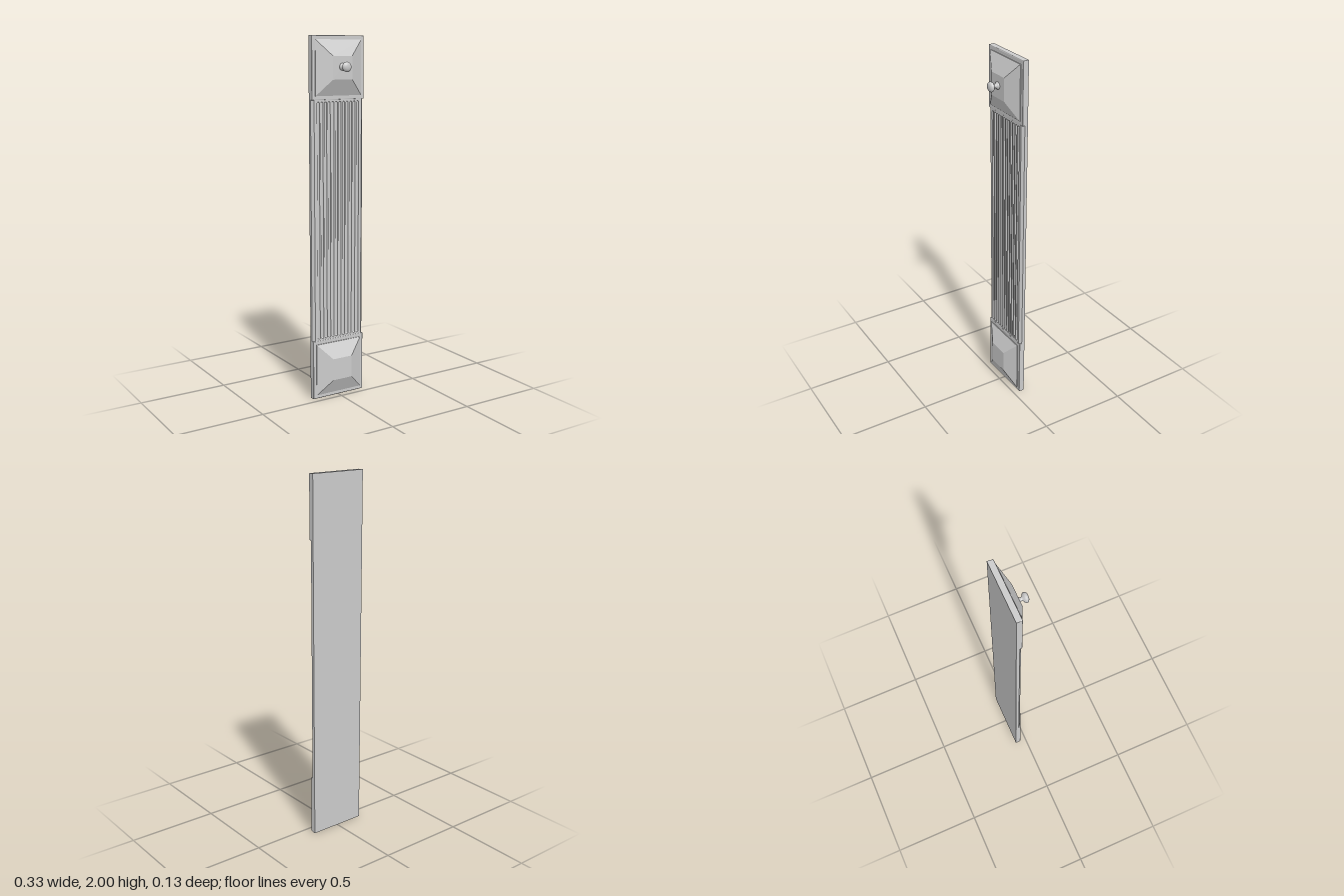
import * as THREE from 'three';
import { RoundedBoxGeometry } from 'three/addons/geometries/RoundedBoxGeometry.js';

const W = 0.326, H = 2;             // overall width and height
const BACK = -0.066, STEP = -0.048, FACE = -0.034;
const BLOCK = 0.337;                // height of the end blocks
const FLUTES = 12, PITCH = 0.0226, R = 0.007;

const grey = new THREE.MeshStandardMaterial({ color: 0xcccccc });
const flat = new THREE.MeshStandardMaterial({ color: 0xcccccc, flatShading: true });
const open = new THREE.MeshStandardMaterial({ color: 0xcccccc, side: THREE.DoubleSide });

function add(parent, name, geometry, material, x = 0, y = 0, z = 0) {
  const mesh = new THREE.Mesh(geometry, material);
  mesh.name = name;
  mesh.position.set(x, y, z);
  parent.add(mesh);
  return mesh;
}

// Square block with a raised, truncated pyramid on its face
function endBlock(name, y) {
  const group = new THREE.Group();
  group.name = name;
  group.position.y = y;
  const depth = FACE + 0.062;
  add(group, 'block', new RoundedBoxGeometry(W, BLOCK, depth, 3, 0.004), grey, 0, 0, FACE - depth / 2);
  add(group, 'pyramidFoot', new THREE.BoxGeometry(0.286, 0.294, 0.006), grey, 0, 0, FACE + 0.001);
  const pyramid = new THREE.CylinderGeometry(0.06 * Math.SQRT2, 0.143 * Math.SQRT2, 0.041, 4);
  pyramid.rotateY(Math.PI / 4).rotateX(Math.PI / 2).scale(1, 0.147 / 0.143, 1);
  add(group, 'pyramid', pyramid, flat, 0, 0, -0.0095);
  return group;
}

// Upright slot outline with round ends
function slot(x, y0, y1) {
  const path = new THREE.Path();
  path.moveTo(x + R, y0 + R);
  path.lineTo(x + R, y1 - R);
  path.absarc(x, y1 - R, R, 0, Math.PI, false);
  path.lineTo(x - R, y0 + R);
  path.absarc(x, y0 + R, R, Math.PI, Math.PI * 2, false);
  return path;
}

function flutedShaft() {
  const group = new THREE.Group();
  group.name = 'flutedShaft';
  const low = BLOCK - 0.004, high = H - low, half = 0.149;
  const f0 = 0.346, f1 = H - f0;

  // Face panel pierced by the flutes
  const face = new THREE.Shape([
    new THREE.Vector2(-half, low), new THREE.Vector2(half, low),
    new THREE.Vector2(half, high), new THREE.Vector2(-half, high),
  ]);

  // Concave half-round trough with rounded ends, shared by every flute
  const profile = [];
  for (let i = 0; i <= 6; i++) {
    const a = (i / 6) * Math.PI / 2;
    profile.push(new THREE.Vector2(R * Math.sin(a), f0 + R - R * Math.cos(a)));
  }
  for (let i = 0; i <= 6; i++) {
    const a = (i / 6) * Math.PI / 2;
    profile.push(new THREE.Vector2(R * Math.cos(a), f1 - R + R * Math.sin(a)));
  }
  const trough = new THREE.LatheGeometry(profile, 10, Math.PI / 2, Math.PI);

  for (let i = 0; i < FLUTES; i++) {
    const x = (i - (FLUTES - 1) / 2) * PITCH;
    face.holes.push(slot(x, f0, f1));
    add(group, 'flute', trough, open, x, 0, FACE - 0.001);
  }
  const panel = new THREE.ExtrudeGeometry(face, { depth: FACE - 0.001 - STEP, bevelEnabled: false, curveSegments: 8 });
  add(group, 'panel', panel, grey, 0, 0, STEP);

  // Chamfered long edges
  for (const s of [-1, 1]) {
    const section = new THREE.Shape([
      new THREE.Vector2(s * half, -STEP), new THREE.Vector2(s * W / 2, -STEP),
      new THREE.Vector2(s * half, -FACE + 0.001),
    ]);
    const edge = new THREE.ExtrudeGeometry(section, { depth: high - low, bevelEnabled: false });
    edge.rotateX(-Math.PI / 2);
    add(group, s > 0 ? 'leftChamfer' : 'rightChamfer', edge, flat, 0, low, 0);
  }
  return group;
}

// Turned knob pointing forward
function knob(y) {
  const points = [
    [0.02, 0.008], [0.02, 0.014], [0.016, 0.019], [0.0105, 0.024], [0.0095, 0.030],
    [0.012, 0.036], [0.022, 0.042], [0.0262, 0.048], [0.0268, 0.053],
    [0.024, 0.059], [0.016, 0.064], [0.008, 0.0655], [0, 0.066],
  ].map(([r, z]) => new THREE.Vector2(r, z));
  const geometry = new THREE.LatheGeometry(points, 32);
  geometry.rotateX(Math.PI / 2);
  const mesh = new THREE.Mesh(geometry, grey);
  mesh.name = 'knob';
  mesh.position.y = y;
  return mesh;
}

export function createModel() {
  const model = new THREE.Group();
  model.name = 'flutedPilaster';
  add(model, 'backPlate', new THREE.BoxGeometry(W, H, STEP - BACK), grey, 0, H / 2, (STEP + BACK) / 2);
  model.add(
    endBlock('lowerBlock', BLOCK / 2),
    endBlock('upperBlock', H - BLOCK / 2),
    flutedShaft(),
    knob(H - BLOCK / 2 + 0.005),
  );
  return model;
}
